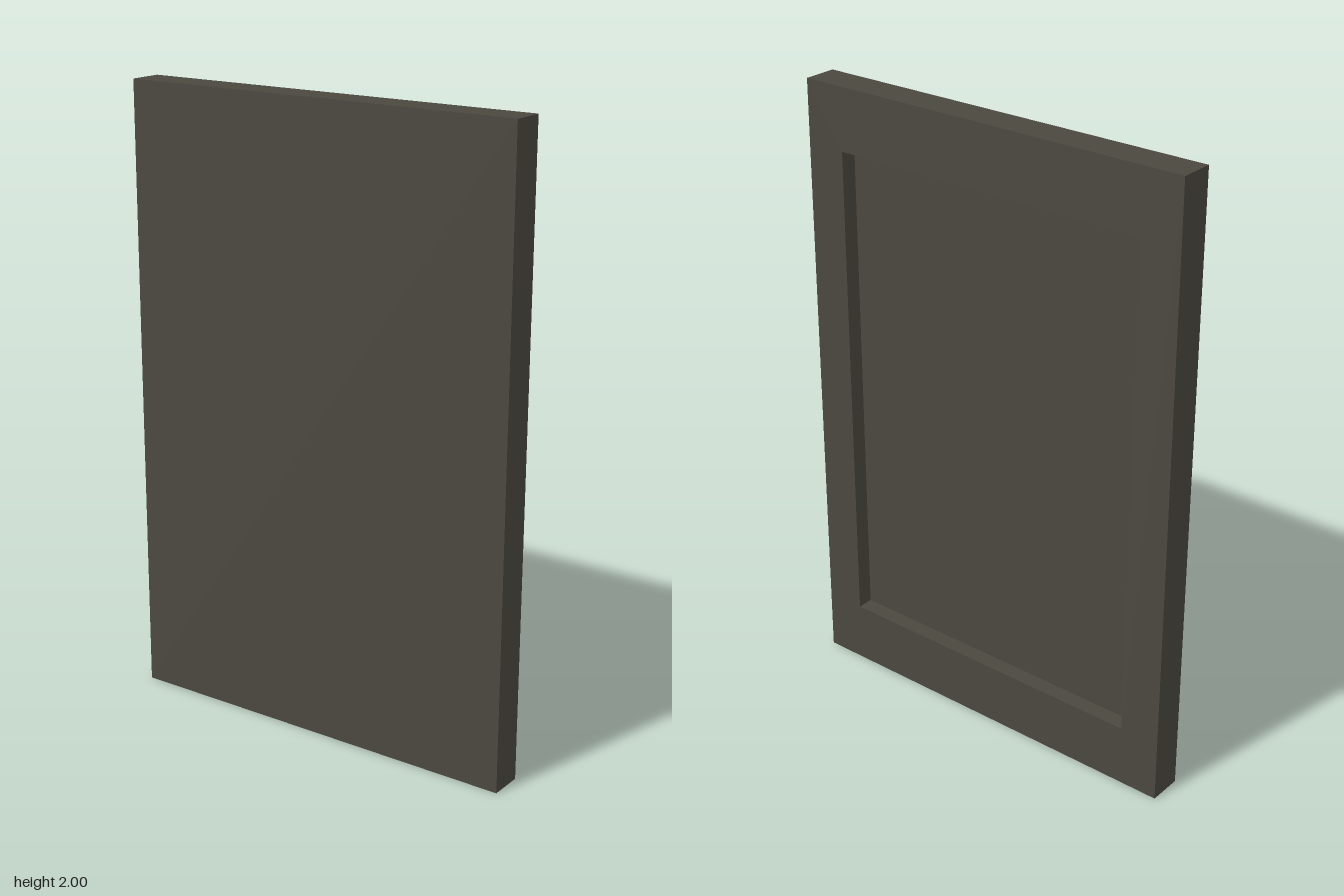
import * as THREE from 'three';

// Slab with a rectangular recess: four-cornered rings run from the front edge,
// around the back rim and down to the recess floor, then both ends are capped.
function recessedSlab(rings) {
  const corners = [[-1, -1], [1, -1], [1, 1], [-1, 1]];
  const positions = [];
  for (const { w, h, z } of rings) {
    for (const [sx, sy] of corners) positions.push(sx * w / 2, sy * h / 2, z);
  }
  const index = [0, 1, 2, 0, 2, 3]; // front face
  for (let r = 0; r < rings.length - 1; r++) {
    for (let k = 0; k < 4; k++) {
      const a = r * 4 + k, b = r * 4 + (k + 1) % 4;
      index.push(a, a + 4, b + 4, a, b + 4, b);
    }
  }
  const f = (rings.length - 1) * 4;
  index.push(f, f + 2, f + 1, f, f + 3, f + 2); // recess floor
  const geometry = new THREE.BufferGeometry();
  geometry.setAttribute('position', new THREE.Float32BufferAttribute(positions, 3));
  geometry.setIndex(index);
  const flat = geometry.toNonIndexed();
  flat.computeVertexNormals();
  return flat;
}

export function createModel() {
  const group = new THREE.Group();
  group.name = 'recessedPanel';

  const width = 1.346, height = 2, thickness = 0.11;
  const openWidth = 1.082, openHeight = 1.6, depth = 0.053;
  const back = -thickness / 2;

  const panel = new THREE.Mesh(
    recessedSlab([
      { w: width, h: height, z: thickness / 2 },
      { w: width, h: height, z: back },
      { w: openWidth, h: openHeight, z: back },
      { w: openWidth, h: openHeight, z: back + depth },
    ]),
    new THREE.MeshStandardMaterial({ color: 0x4b483f, flatShading: true })
  );
  panel.name = 'panel';
  panel.position.y = height / 2;
  panel.rotation.y = -Math.PI / 4; // stands diagonally, recess facing right and back
  group.add(panel);
  return group;
}
